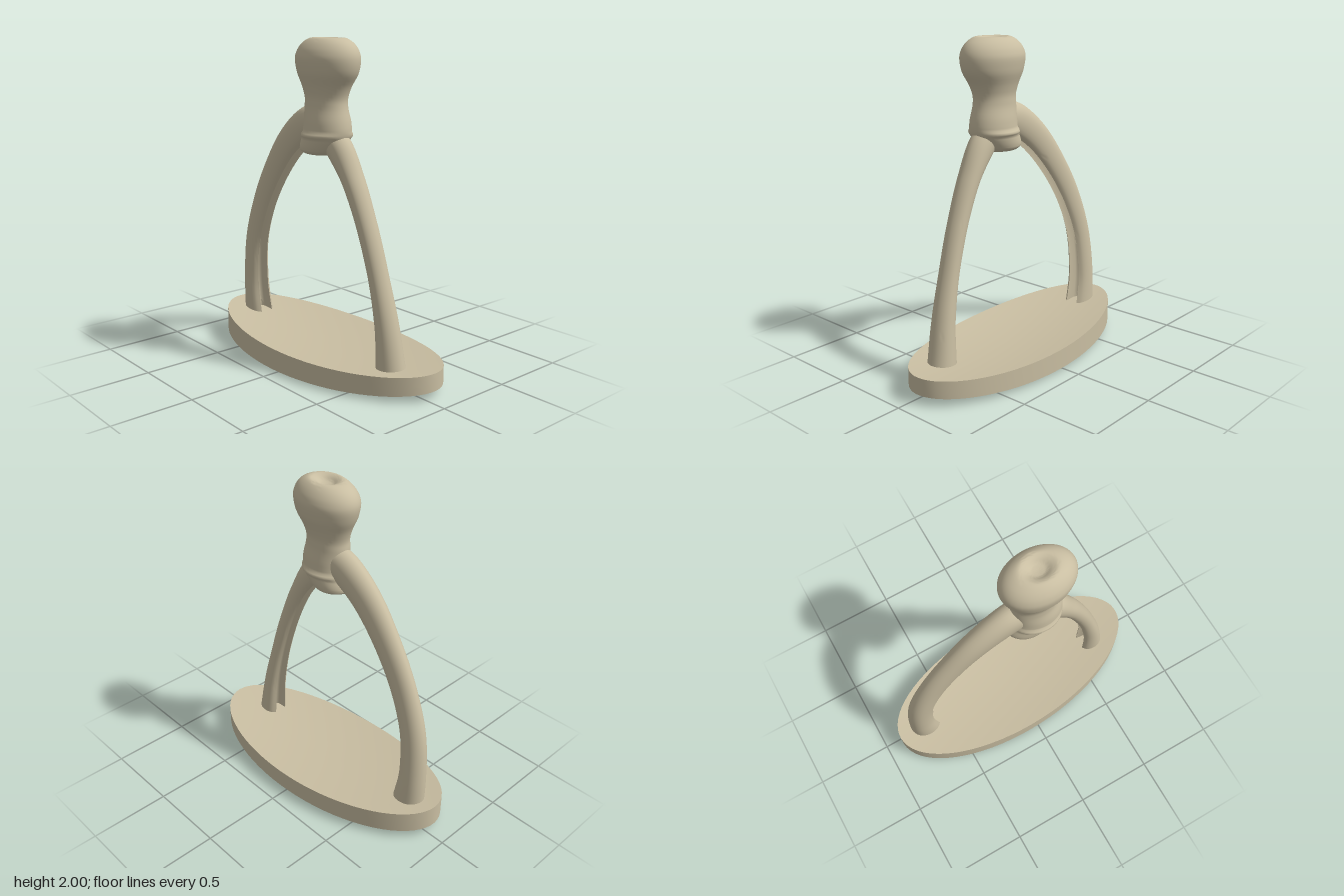
import * as THREE from 'three';
import { toCreasedNormals } from 'three/addons/utils/BufferGeometryUtils.js';

const material = new THREE.MeshStandardMaterial({ color: 0xc9bea2 });

// Skin a stack of closed rings (counter-clockwise about the stacking direction), capped at both ends
function loft(name, rings, crease) {
  const n = rings[0].length, pos = [], index = [];
  rings.forEach(r => r.forEach(p => pos.push(p.x, p.y, p.z)));
  for (let i = 0; i < rings.length - 1; i++) {
    for (let j = 0; j < n; j++) {
      const a = i * n + j, b = i * n + (j + 1) % n;
      index.push(a, b, a + n, b, b + n, a + n);
    }
  }
  [0, rings.length - 1].forEach((i, end) => {
    const c = new THREE.Vector3();
    rings[i].forEach(p => c.addScaledVector(p, 1 / n));
    const k = pos.length / 3;
    pos.push(c.x, c.y, c.z);
    for (let j = 0; j < n; j++) {
      const a = i * n + j, b = i * n + (j + 1) % n;
      if (end) index.push(a, b, k); else index.push(b, a, k);
    }
  });
  const geo = new THREE.BufferGeometry();
  geo.setAttribute('position', new THREE.Float32BufferAttribute(pos, 3));
  geo.setIndex(index);
  const mesh = new THREE.Mesh(toCreasedNormals(geo, crease), material);
  mesh.name = name;
  return mesh;
}

const spline = pts => new THREE.CatmullRomCurve3(pts.map(p => new THREE.Vector3(...p)));

// Leg cross-section: u points to the inside of the arch, where a channel is cut
const outer = spline([[1, 0.5, 0], [0.72, 0.82, 0], [0.2, 1, 0], [-0.4, 0.92, 0], [-0.82, 0.56, 0], [-1, 0, 0],
  [-0.82, -0.56, 0], [-0.4, -0.92, 0], [0.2, -1, 0], [0.72, -0.82, 0], [1, -0.5, 0]]).getPoints(28);
const section = [...outer.map(p => [p.x, p.y]), [0.3, -0.42], [0.1, -0.25], [0.05, 0], [0.1, 0.25], [0.3, 0.42]];

// stations: [x, y, z, radius in the arch plane, half depth in z]
function leg(name, stations, inward) {
  const path = spline(stations.map(s => s.slice(0, 3)));
  const size = spline(stations.map(s => [s[3], s[4], 0]));
  const rings = [];
  for (let i = 0; i <= 48; i++) {
    const t = i / 48, c = path.getPoint(t), s = size.getPoint(t), d = path.getTangent(t);
    d.z = 0;
    d.normalize();
    const n = new THREE.Vector3(d.y, -d.x, 0).multiplyScalar(inward);
    const b = new THREE.Vector3().crossVectors(d, n);
    rings.push(section.map(([u, v]) => c.clone().addScaledVector(n, u * s.x).addScaledVector(b, v * s.y)));
  }
  return loft(name, rings, 0.7);
}

// Curved oval footplate, slightly turned and dished on top
function footplate() {
  const turn = 0.056, N = 72;
  const ring = (s, top) => Array.from({ length: N }, (_, j) => {
    const a = j / N * Math.PI * 2, ex = 0.89 * s * Math.cos(a), ez = -0.39 * s * Math.sin(a);
    const x = ex * Math.cos(turn) - ez * Math.sin(turn) * -1;
    const z = -ex * Math.sin(turn) + ez * Math.cos(turn);
    const k = x / 0.89;
    const y = top
      ? 0.138 + 0.04 * k * k - 0.0175 * k - 0.01 * z - 0.03 * (1 - s * s)
      : 0.009 + 0.044 * k * k - 0.02 * z;
    return new THREE.Vector3(x, y, z);
  });
  const steps = [0.08, 0.25, 0.45, 0.65, 0.85, 1];
  return loft('footplate', [...steps.map(s => ring(s, false)), ...steps.slice().reverse().map(s => ring(s, true))], 0.7);
}

// Oval waisted knob with a dimple: [left x, right x, y, half depth]
function knob() {
  const rows = [
    [0.02, 0.11, 1.32, 0.05], [-0.05, 0.16, 1.325, 0.095], [-0.087, 0.195, 1.345, 0.117], [-0.085, 0.225, 1.375, 0.125],
    [-0.067, 0.26, 1.42, 0.13], [-0.055, 0.27, 1.46, 0.13], [-0.05, 0.265, 1.52, 0.125], [-0.05, 0.247, 1.6, 0.111],
    [-0.047, 0.245, 1.65, 0.11], [-0.065, 0.27, 1.72, 0.125], [-0.1, 0.32, 1.8, 0.153], [-0.115, 0.335, 1.88, 0.163],
    [-0.1, 0.322, 1.93, 0.15], [-0.062, 0.287, 1.972, 0.122], [0, 0.225, 1.999, 0.085], [0.035, 0.19, 1.99, 0.06],
    [0.07, 0.155, 1.97, 0.035], [0.1, 0.125, 1.965, 0.01]];
  const shape = spline(rows.map(r => [(r[0] + r[1]) / 2, r[2], (r[1] - r[0]) / 2]));
  const depth = spline(rows.map(r => [r[3], 0, 0]));
  const rings = [];
  for (let i = 0; i <= 68; i++) {
    const p = shape.getPoint(i / 68), hz = depth.getPoint(i / 68).x;
    rings.push(Array.from({ length: 40 }, (_, j) => {
      const a = j / 40 * Math.PI * 2;
      return new THREE.Vector3(p.x + p.z * Math.cos(a), p.y, 0.088 - hz * Math.sin(a));
    }));
  }
  return loft('knob', rings, 1.2);
}

export function createModel() {
  const group = new THREE.Group();
  group.name = 'stirrup';
  group.add(footplate(), knob());
  group.add(leg('rightLeg', [
    [-0.695, 0.1, 0.025, 0.1, 0.086], [-0.713, 0.35, 0.03, 0.08, 0.077], [-0.682, 0.65, 0.042, 0.078, 0.068],
    [-0.58, 0.92, 0.052, 0.083, 0.062], [-0.43, 1.16, 0.063, 0.09, 0.064], [-0.25, 1.365, 0.075, 0.1, 0.072],
    [-0.07, 1.49, 0.082, 0.105, 0.08], [0.06, 1.53, 0.088, 0.09, 0.08]], 1));
  group.add(leg('leftLeg', [
    [0.627, 0.1, 0.04, 0.085, 0.084], [0.595, 0.38, 0.05, 0.064, 0.072], [0.52, 0.7, 0.062, 0.053, 0.063],
    [0.432, 0.97, 0.072, 0.054, 0.064], [0.33, 1.2, 0.08, 0.06, 0.07],
    [0.215, 1.375, 0.086, 0.078, 0.076], [0.12, 1.46, 0.088, 0.07, 0.076]], -1));
  return group;
}
